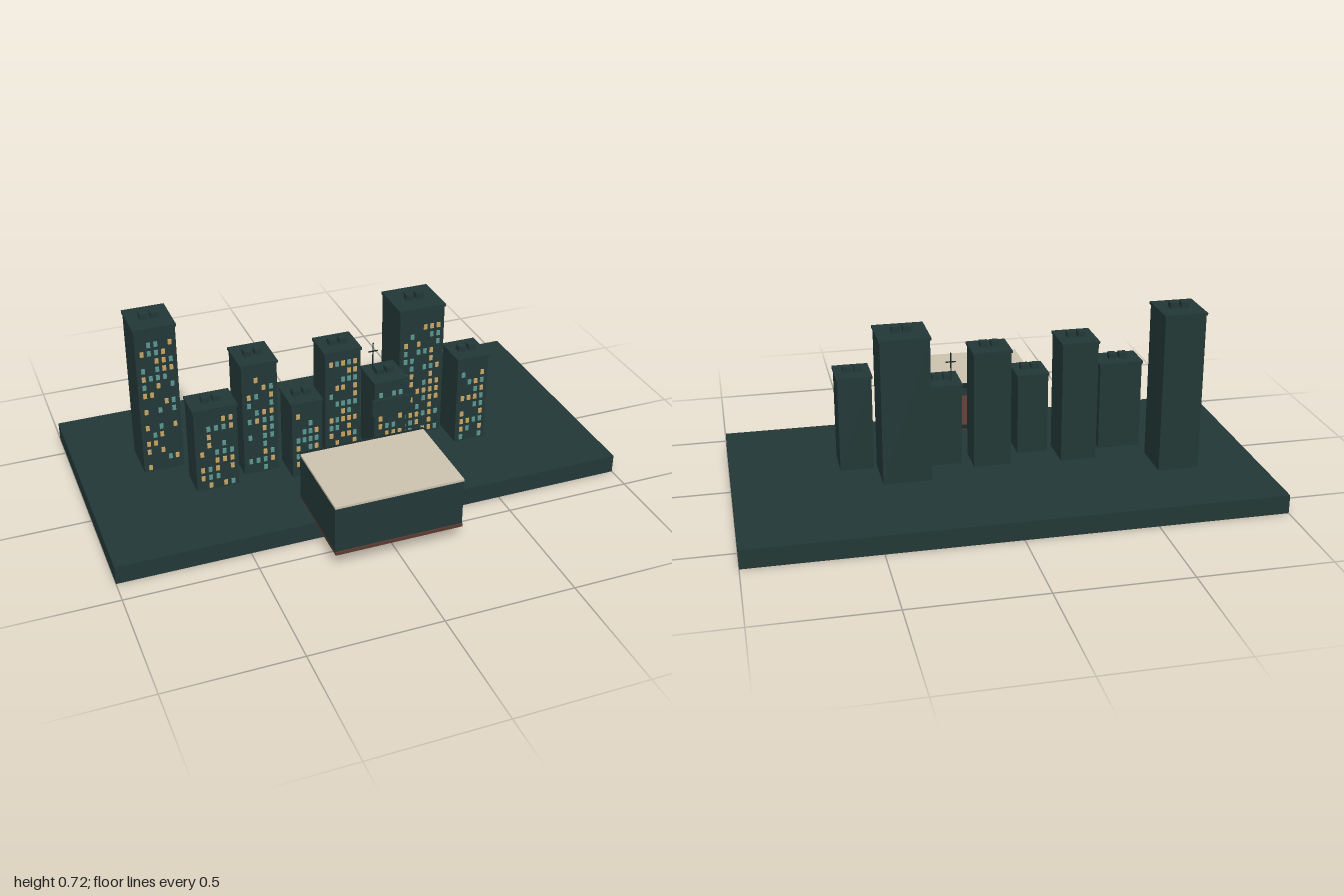
import * as THREE from 'three';

const mat = (name, color) => {
  const m = new THREE.MeshStandardMaterial({ color });
  m.name = name;
  return m;
};

export function createModel() {
  const model = new THREE.Group();
  model.name = 'cityDiorama';
  const dark = mat('dark slate green', 0x223836);
  const trim = mat('dark trim', 0x1a2a2a);
  const amber = mat('amber light', 0xc9a463);
  const teal = mat('teal light', 0x5b9691);
  const cream = mat('cream ceiling', 0xcbc2af);
  const brown = mat('brown floor', 0x5c3a30);

  // Box given by its two extremes on each axis
  const box = (parent, name, material, x0, x1, y0, y1, z0, z1) => {
    const mesh = new THREE.Mesh(new THREE.BoxGeometry(x1 - x0, y1 - y0, z1 - z0), material);
    mesh.position.set((x0 + x1) / 2, (y0 + y1) / 2, (z0 + z1) / 2);
    mesh.name = name;
    parent.add(mesh);
    return mesh;
  };

  // Seeded random for the lit windows
  let seed = 41;
  const random = () => {
    seed = (seed * 16807) % 2147483647;
    return seed / 2147483647;
  };

  box(model, 'groundSlab', dark, -1, 1, 0, 0.073, -0.618, 0.405);
  const ground = 0.073;

  // Towers: x range, z range, roof height, window columns
  const towers = [
    [-0.76, -0.595, -0.313, -0.133, 0.695, 5],
    [-0.605, -0.43, -0.06, 0.065, 0.428, 5],
    [-0.402, -0.255, -0.145, 0.018, 0.553, 4],
    [-0.235, -0.107, -0.04, 0.101, 0.4, 4],
    [-0.067, 0.085, -0.13, 0.01, 0.537, 5],
    [0.115, 0.255, -0.085, 0.065, 0.4, 4],
    [0.255, 0.448, -0.213, -0.025, 0.64, 6],
    [0.453, 0.59, -0.058, 0.091, 0.449, 4],
  ];
  const windowGeometry = new THREE.BoxGeometry(0.014, 0.02, 0.005);
  towers.forEach(([x0, x1, z0, z1, top, columns], i) => {
    const tower = new THREE.Group();
    tower.name = 'tower' + (i + 1);
    model.add(tower);
    const e = 0.004, xc = (x0 + x1) / 2, zc = (z0 + z1) / 2;
    box(tower, 'towerBody', dark, x0 + e, x1 - e, ground, top - 0.01, z0 + e, z1 - e);
    box(tower, 'roofCap', dark, x0, x1, top - 0.01, top, z0, z1);
    for (const s of [-1, 1]) {
      const c = xc + s * 0.021;
      box(tower, 'roofUnit', dark, c - 0.015, c + 0.015, top, top + 0.022, zc - 0.016, zc + 0.016);
    }

    // Lit windows on the front
    const rows = Math.floor((top - ground - 0.035) / 0.0355);
    const pitch = (x1 - x0 - 0.03) / columns;
    for (let r = 0; r < rows; r++) {
      for (let c = 0; c < columns; c++) {
        if (random() > 0.6) continue;
        const pane = new THREE.Mesh(windowGeometry, random() < 0.52 ? amber : teal);
        pane.name = 'litWindow';
        pane.position.set(xc + (c - (columns - 1) / 2) * pitch, ground + 0.02 + r * 0.0355, z1 - e + 0.0025);
        tower.add(pane);
      }
    }
  });

  // Rooftop antenna
  box(model, 'antennaMast', trim, 0.151, 0.155, 0.4, 0.515, -0.047, -0.043);
  box(model, 'antennaBar', trim, 0.133, 0.173, 0.477, 0.481, -0.047, -0.043);

  // Blank board on the front of a tower
  box(model, 'board', dark, 0.103, 0.263, 0.262, 0.33, 0.07, 0.08);

  // Viewing room, open towards the towers
  const room = new THREE.Group();
  room.name = 'viewingRoom';
  model.add(room);
  box(room, 'roomFloor', brown, -0.25, 0.245, 0.068, 0.08, 0.24, 0.612);
  box(room, 'roomCeiling', cream, -0.25, 0.245, 0.264, 0.273, 0.244, 0.608);
  box(room, 'frontWall', dark, -0.25, 0.245, 0.08, 0.264, 0.597, 0.606);
  box(room, 'leftWall', dark, 0.236, 0.245, 0.08, 0.264, 0.24, 0.597);
  box(room, 'rightWall', dark, -0.25, -0.241, 0.08, 0.264, 0.24, 0.597);

  // Window frame around the opening
  box(room, 'frameHeader', trim, -0.25, 0.247, 0.258, 0.275, 0.234, 0.244);
  box(room, 'frameSill', trim, -0.25, 0.247, 0.08, 0.094, 0.236, 0.244);
  for (const x of [-0.243, -0.08, 0.075, 0.239]) {
    box(room, 'framePost', trim, x - 0.006, x + 0.006, 0.094, 0.258, 0.236, 0.244);
  }

  return model;
}
